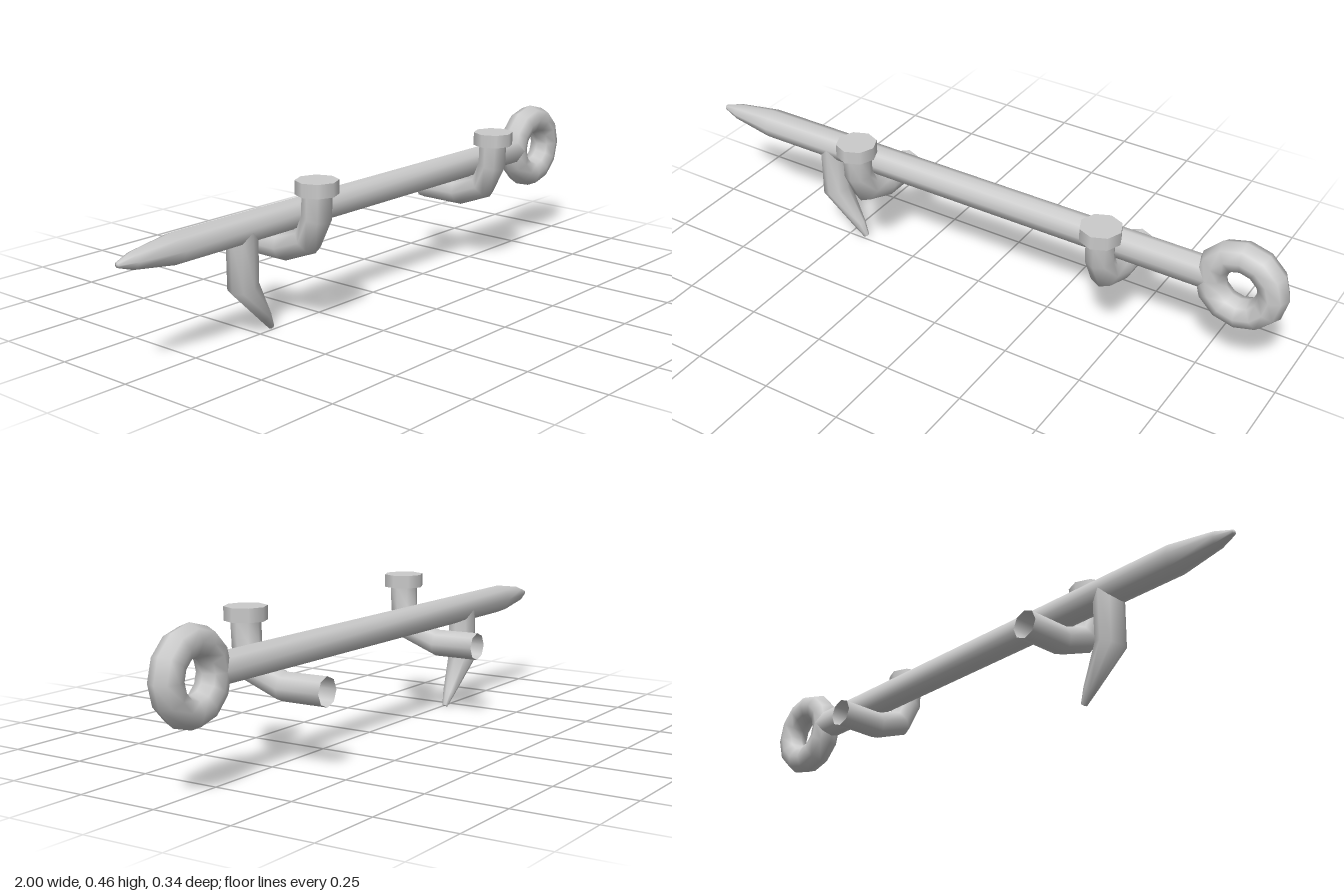
import * as THREE from 'three';

const material = new THREE.MeshStandardMaterial({ color: 0xcccccc, side: THREE.DoubleSide });
const AXIS_Y = 0.325, AXIS_Z = -0.012, R = 0.047, SIDES = 8;

// Tube of varying radius along a planar path; each station is [x, y, z, radius],
// and binormal is the direction perpendicular to the plane of the path.
function sweep(stations, binormal) {
  const centres = stations.map(([x, y, z]) => new THREE.Vector3(x, y, z));
  const pos = [], index = [];
  const direction = (a, b) => new THREE.Vector3().subVectors(b, a).normalize();
  centres.forEach((c, i) => {
    const tangent = new THREE.Vector3();
    if (i > 0) tangent.add(direction(centres[i - 1], c));
    if (i < centres.length - 1) tangent.add(direction(c, centres[i + 1]));
    const normal = new THREE.Vector3().crossVectors(binormal, tangent).normalize();
    for (let j = 0; j < SIDES; j++) {
      const a = (j / SIDES) * Math.PI * 2, r = stations[i][3];
      const p = c.clone()
        .addScaledVector(normal, Math.cos(a) * r)
        .addScaledVector(binormal, Math.sin(a) * r);
      pos.push(p.x, p.y, p.z);
      if (i > 0) {
        const k = (j + 1) % SIDES, lo = (i - 1) * SIDES, hi = i * SIDES;
        index.push(lo + j, lo + k, hi + j, lo + k, hi + k, hi + j);
      }
    }
  });
  const g = new THREE.BufferGeometry();
  g.setAttribute('position', new THREE.Float32BufferAttribute(pos, 3));
  g.setIndex(index);
  g.computeVertexNormals();
  return g;
}

function part(name, geometry) {
  const mesh = new THREE.Mesh(geometry, material);
  mesh.name = name;
  return mesh;
}

// Bent pipe peg with a flat cap on its upright end and an open rear end
function createPeg(name, x) {
  const peg = new THREE.Group();
  peg.name = name;
  const r = 0.044;
  peg.add(part('bentPipe', sweep([
    [0, 0.234, -0.171, r],
    [0, 0.233, -0.025, r],
    [0, 0.267, 0.07, r],
    [0, 0.34, 0.105, r],
    [0, 0.415, 0.108, r],
  ], new THREE.Vector3(1, 0, 0))));
  const cap = part('pegCap', new THREE.CylinderGeometry(0.063, 0.063, 0.041, SIDES));
  cap.position.set(0, 0.43, 0.108);
  peg.add(cap);
  peg.position.x = x;
  return peg;
}

export function createModel() {
  const model = new THREE.Group();
  model.name = 'ringedBar';
  const zAxis = new THREE.Vector3(0, 0, 1);

  // Long bar tapering to a blunt point
  model.add(part('bar', sweep([
    [0.765, AXIS_Y, AXIS_Z, R],
    [-0.8, AXIS_Y, AXIS_Z, R],
    [-0.945, AXIS_Y, AXIS_Z, 0.026],
    [-0.998, AXIS_Y, AXIS_Z, 0.008],
    [-1, AXIS_Y, AXIS_Z, 0],
  ], zAxis)));

  // Ring at the other end
  const ring = part('ring', new THREE.TorusGeometry(0.095, R, SIDES, 12));
  ring.position.set(0.858, AXIS_Y - 0.001, AXIS_Z);
  model.add(ring);

  // Pointed hook below the bar
  model.add(part('hook', sweep([
    [-0.551, AXIS_Y, AXIS_Z, 0.046],
    [-0.551, 0.157, AXIS_Z, 0.046],
    [-0.467, 0.047, AXIS_Z, 0.02],
    [-0.442, 0.008, AXIS_Z, 0.009],
    [-0.4415, 0.007, AXIS_Z, 0],
  ], zAxis)));

  // Two matching pegs
  model.add(createPeg('rightPeg', -0.371), createPeg('leftPeg', 0.472));
  return model;
}
